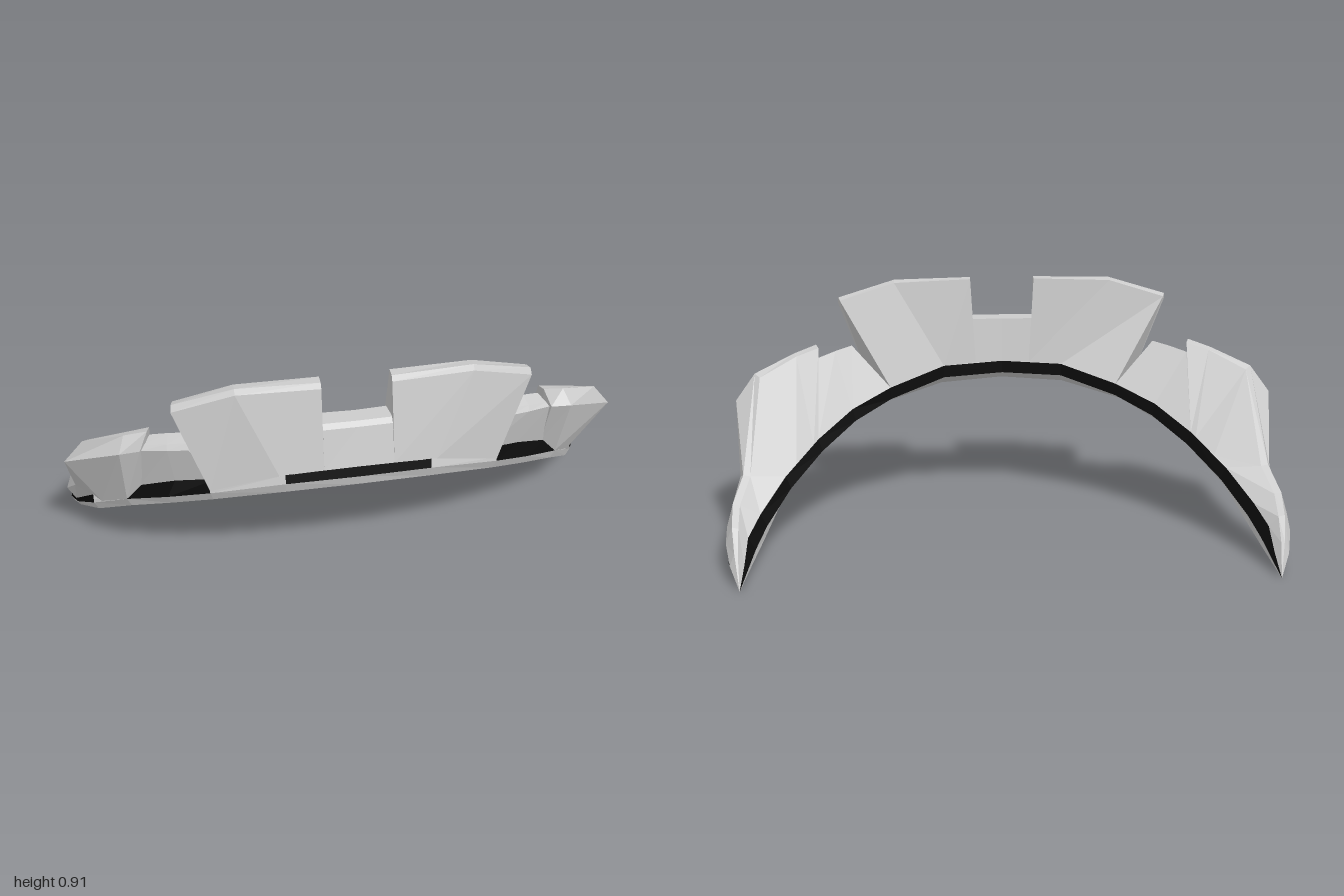
import * as THREE from 'three';

const grey = new THREE.MeshStandardMaterial({ color: 0xcccccc, flatShading: true, side: THREE.DoubleSide });
const black = new THREE.MeshStandardMaterial({ color: 0x0a0a0a, flatShading: true, side: THREE.DoubleSide });

// Skins a series of cross-sections; closed sections also get end caps
function loft(rows, closed) {
  const pos = [];
  const tri = (a, b, c) => pos.push(...a, ...b, ...c);
  const n = rows[0].length;
  for (let i = 0; i < rows.length - 1; i++) {
    for (let j = 0; j < (closed ? n : n - 1); j++) {
      const k = (j + 1) % n;
      const [a, b, c, d] = [rows[i][j], rows[i][k], rows[i + 1][k], rows[i + 1][j]];
      tri(a, b, c);
      tri(a, c, d);
    }
  }
  if (closed) {
    const first = rows[0], last = rows[rows.length - 1];
    for (let j = 1; j < n - 1; j++) {
      tri(first[0], first[j + 1], first[j]);
      tri(last[0], last[j], last[j + 1]);
    }
  }
  const g = new THREE.BufferGeometry();
  g.setAttribute('position', new THREE.Float32BufferAttribute(pos, 3));
  g.computeVertexNormals();
  return g;
}

const tip = [0.94, 0, -0.42];

// Edge lines of the rim, from the front centre to the tip
const outer = [[0, 0.57, 0.42], [0.25, 0.56, 0.405], [0.5, 0.5, 0.335], [0.64, 0.435, 0.25],
  [0.78, 0.36, 0.145], [0.9, 0.225, -0.02], [0.965, 0.1, -0.19], [0.99, 0.05, -0.29], tip];
const outerLow = [[0, 0.53, 0.41], [0.25, 0.515, 0.39], [0.49, 0.46, 0.32], [0.63, 0.395, 0.235],
  [0.765, 0.325, 0.14], [0.885, 0.195, -0.02], [0.955, 0.075, -0.2], [0.98, 0.035, -0.28], tip];
const under = [[0, 0.52, 0.34], [0.23, 0.505, 0.325], [0.45, 0.45, 0.26], [0.585, 0.385, 0.18],
  [0.71, 0.3, 0.08], [0.81, 0.2, -0.06], [0.87, 0.1, -0.2], [0.9, 0.055, -0.28], tip];
const inner = [[0, 0.555, 0.28], [0.22, 0.545, 0.26], [0.42, 0.485, 0.19], [0.55, 0.425, 0.125],
  [0.67, 0.34, 0.04], [0.78, 0.24, -0.07], [0.86, 0.145, -0.19], [0.895, 0.09, -0.27], tip];
const innerHigh = inner.map(([x, y, z], i) =>
  i === 8 ? tip : [x + 0.0035 * i * (i > 2 ? 1 : 0), y + 0.045, z]);

const rim = outer.map((p, i) => [p, outerLow[i], under[i], inner[i]]);
const innerBand = inner.map((p, i) => [p, innerHigh[i]]);

// Dark ledges between the rim and the walls
const frontLedge = [[outer[0], [0, 0.605, 0.41]], [outer[1], [0.25, 0.592, 0.396]]];
const recessLedge = [[outer[2], [0.47, 0.515, 0.28]], [outer[3], [0.61, 0.475, 0.215]], [outer[4], [0.73, 0.42, 0.15]]];
const sideLedge = [[outer[5], [0.9, 0.255, -0.03]], [outer[6], [0.968, 0.125, -0.18]],
  [outer[7], [0.985, 0.065, -0.29]], [tip, tip]];
const panelFoot = [[outer[1], [0.25, 0.592, 0.396]], [outer[2], [0.5, 0.515, 0.333]]];

// Wall sections: outer foot, outer shoulder, outer top, inner top, inner foot
const notch = [
  [[0, 0.605, 0.41], [0, 0.745, 0.375], [0, 0.76, 0.36], [0, 0.76, 0.3], innerHigh[0]],
  [[0.12, 0.603, 0.408], [0.118, 0.745, 0.374], [0.118, 0.76, 0.358], [0.118, 0.76, 0.295], [0.1, 0.597, 0.275]],
];
const panel = [
  [[0.12, 0.603, 0.408], [0.118, 0.895, 0.348], [0.118, 0.912, 0.335], [0.118, 0.912, 0.3], [0.1, 0.597, 0.275]],
  [[0.27, 0.588, 0.393], [0.4, 0.892, 0.33], [0.4, 0.91, 0.318], [0.4, 0.905, 0.285], innerHigh[1]],
  [[0.5, 0.51, 0.335], [0.61, 0.83, 0.302], [0.607, 0.852, 0.29], [0.6, 0.846, 0.262], innerHigh[2]],
];
const recess = [
  [[0.47, 0.515, 0.28], [0.56, 0.65, 0.28], [0.56, 0.67, 0.265], [0.56, 0.685, 0.225], innerHigh[2]],
  [[0.61, 0.475, 0.215], [0.63, 0.638, 0.255], [0.63, 0.655, 0.24], [0.62, 0.672, 0.2], innerHigh[3]],
  [[0.73, 0.42, 0.15], [0.72, 0.62, 0.215], [0.71, 0.635, 0.205], [0.68, 0.655, 0.175], innerHigh[4]],
];
const wing = [
  [[0.72, 0.42, 0.15], [0.72, 0.625, 0.225], [0.69, 0.695, 0.21], [0.68, 0.69, 0.18], innerHigh[4]],
  [outer[4], [0.79, 0.625, 0.23], [0.77, 0.67, 0.185], [0.76, 0.665, 0.16], [0.7, 0.37, 0.025]],
  [[0.87, 0.265, 0.025], [0.98, 0.52, 0.1], [0.91, 0.615, 0.12], [0.89, 0.605, 0.1], [0.76, 0.32, -0.035]],
  [[0.9, 0.255, -0.03], [0.96, 0.285, -0.06], [0.945, 0.305, -0.1], [0.92, 0.3, -0.1], innerHigh[5]],
  [[0.968, 0.125, -0.18], [0.998, 0.155, -0.21], [0.975, 0.235, -0.2], [0.95, 0.23, -0.2], innerHigh[6]],
  [[0.985, 0.065, -0.29], [0.998, 0.115, -0.27], [0.972, 0.18, -0.28], [0.95, 0.175, -0.28], innerHigh[7]],
  [[0.967, 0.033, -0.355], [0.978, 0.065, -0.35], [0.96, 0.11, -0.35], [0.948, 0.105, -0.35], [0.928, 0.065, -0.345]],
  [tip, tip, tip, tip, tip],
];

export function createModel() {
  const group = new THREE.Group();
  const parts = [
    ['rim', rim, false, grey], ['innerBand', innerBand, false, black],
    ['frontLedge', frontLedge, false, black], ['recessLedge', recessLedge, false, black],
    ['sideLedge', sideLedge, false, black], ['panelFoot', panelFoot, false, grey],
    ['notchWall', notch, true, grey], ['frontPanel', panel, true, grey],
    ['recessWall', recess, true, grey], ['sideWing', wing, true, grey],
  ];
  // Each part is built for the left and mirrored to the right
  for (const [name, rows, closed, material] of parts) {
    for (const side of [1, -1]) {
      // Section order is reversed on the mirrored side to keep faces outward
      const placed = rows.map(row => row.map(([x, y, z]) => [x * side, y, z]));
      const mesh = new THREE.Mesh(loft(side > 0 ? placed : placed.reverse(), closed), material);
      mesh.name = name + (side > 0 ? 'Left' : 'Right');
      group.add(mesh);
    }
  }
  return group;
}
